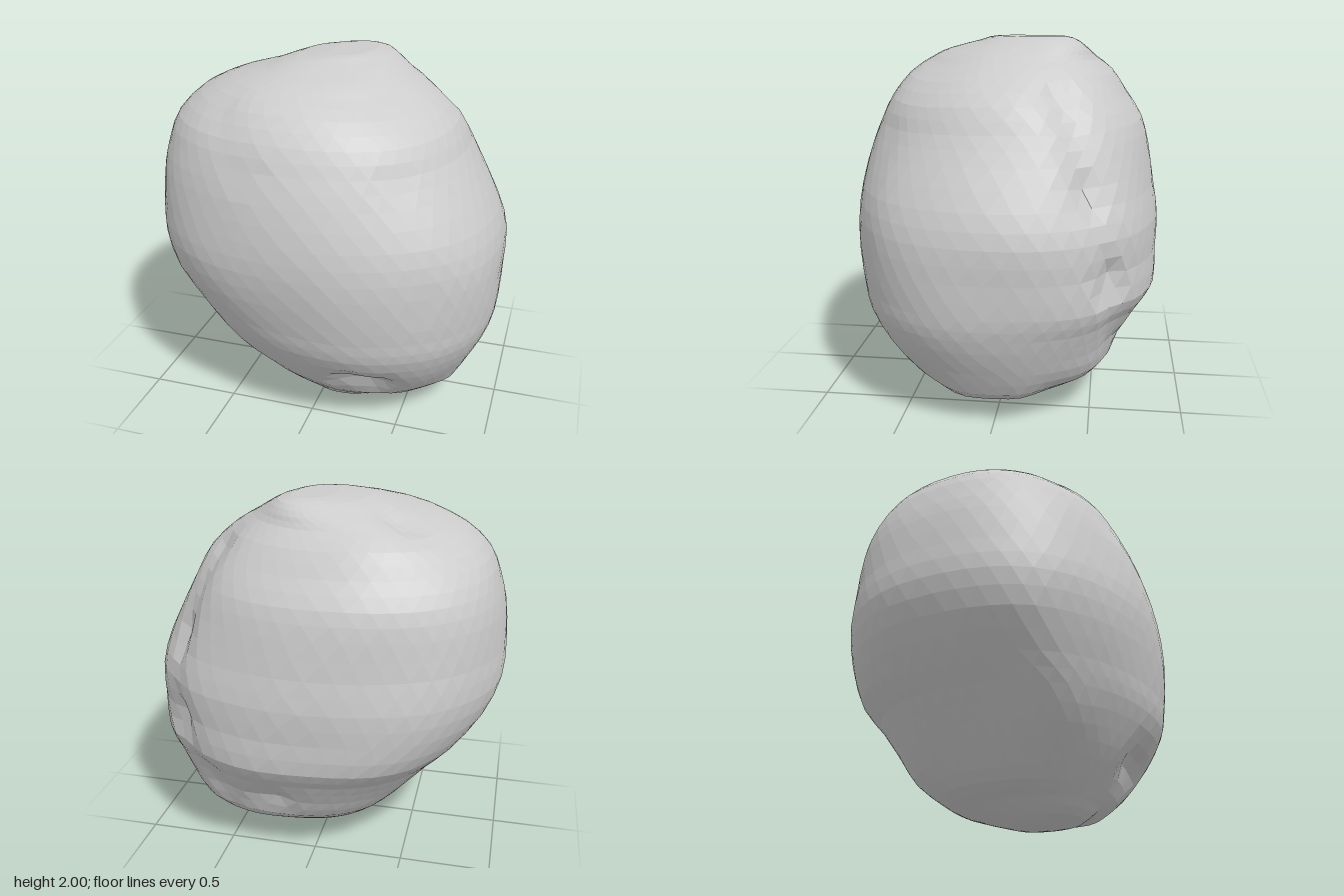
import * as THREE from 'three';

// Profile by height: [y, xMin, xMax, zMin, zMax, skew]
const PROFILE = [
  [0, 0.03, 0.22, -0.02, 0.17, 0], [0.03, -0.06, 0.35, -0.14, 0.34, 0], [0.1, -0.18, 0.46, -0.36, 0.42, 0],
  [0.16, -0.31, 0.69, -0.48, 0.49, 0], [0.27, -0.43, 0.81, -0.62, 0.6, 0], [0.4, -0.55, 0.89, -0.68, 0.69, 0.02],
  [0.55, -0.68, 0.945, -0.76, 0.77, 0.03], [0.67, -0.79, 0.97, -0.84, 0.8, 0.03], [0.85, -0.92, 0.98, -0.845, 0.835, 0.02],
  [1.03, -0.985, 0.98, -0.845, 0.85, 0], [1.2, -0.985, 0.93, -0.815, 0.835, 0], [1.4, -0.965, 0.83, -0.785, 0.79, 0],
  [1.55, -0.925, 0.75, -0.745, 0.74, 0], [1.68, -0.87, 0.68, -0.66, 0.68, 0], [1.8, -0.75, 0.55, -0.58, 0.58, 0],
  [1.88, -0.57, 0.42, -0.49, 0.46, -0.05], [1.93, -0.37, 0.34, -0.45, 0.36, -0.1], [1.98, -0.22, 0.25, -0.39, 0.18, -0.25],
  [2, -0.05, 0.18, -0.32, 0.06, -0.3],
];

// Dents (positive depth) and bulges (negative): [from, to, radius, depth]
const RELIEF = [
  [[0.28, 0.3, 0.62], [0.4, 0.27, 0.6], 0.12, 0.08],         // front crater
  [[0.7, 0.2, 0.15], [0.7, 0.2, -0.1], 0.15, -0.045],        // underside of the side lobe
  [[0.42, 0.36, -0.52], [0.2, 0.42, -0.62], 0.1, 0.06],      // back crater
  [[0.5, 0.42, -0.56], [0.72, 0.8, -0.59], 0.09, 0.035],     // lower back groove
  [[0.72, 0.8, -0.59], [0.72, 1.25, -0.47], 0.09, 0.035],    // middle back groove
  [[0.72, 1.25, -0.47], [0.54, 1.7, -0.32], 0.1, 0.045],     // upper back groove
  [[-0.43, 1.7, 0.46], [-0.27, 1.5, 0.64], 0.09, 0.05],      // upper front pit
  [[-0.44, 1.86, -0.3], [-0.38, 1.88, -0.27], 0.09, 0.04],   // top pit
  [[0.45, 1.5, 0.55], [0.62, 0.9, 0.62], 0.09, 0.015],       // front groove beside the lobe
  [[0.35, 1.78, 0.35], [0.5, 1.5, 0.5], 0.3, 0.035],         // flattened upper front slope
  [[-0.72, 0.85, 0.48], [-0.38, 0.45, 0.5], 0.16, -0.025],   // blunt lower front edge
].map(([a, b, r, d]) => ({ line: new THREE.Line3(new THREE.Vector3(...a), new THREE.Vector3(...b)), r, d }));

const CENTRE = new THREE.Vector3(0.05, 1, 0);
const near = new THREE.Vector3();

// Push a surface point along its line to the centre and add slight lumps
function weather(p) {
  if (p.y < 0.02 || p.y > 1.98) return p;
  let push = 0.004 * (Math.sin(p.x * 9 + p.y * 4) + Math.sin(p.z * 8 - p.y * 7 + 1) * Math.cos(p.x * 6));
  for (const { line, r, d } of RELIEF) {
    const dist = line.closestPointToPoint(p, true, near).distanceTo(p);
    push += d * Math.exp(-((dist / r) ** 2));
  }
  return p.addScaledVector(near.subVectors(CENTRE, p).normalize(), push);
}

const power = (v, e) => Math.sign(v) * Math.abs(v) ** e;

function rockGeometry(rows, cols) {
  const curve = (a, b, c) => new THREE.CatmullRomCurve3(
    PROFILE.map((s) => new THREE.Vector3(s[a], s[b], s[c])), false, 'catmullrom', 0.5);
  const xs = curve(1, 0, 2), zs = curve(3, 5, 4);
  const pos = [], index = [];
  const add = (p) => pos.push(p.x, p.y, p.z);

  // Rounded, skewed cross-section rings from bottom to top
  for (let i = 0; i <= rows; i++) {
    const X = xs.getPoint(i / rows), Z = zs.getPoint(i / rows);
    for (let j = 0; j < cols; j++) {
      const a = ((j + (i % 2) * 0.5) / cols) * Math.PI * 2;
      add(weather(new THREE.Vector3(
        (X.x + X.z) / 2 + ((X.z - X.x) / 2) * power(Math.cos(a), 0.89),
        X.y,
        (Z.x + Z.z) / 2 + ((Z.z - Z.x) / 2) * power(Math.sin(a + Z.y), 0.89))));
    }
  }
  for (let i = 0; i < rows; i++) {
    for (let j = 0; j < cols; j++) {
      const k = (j + 1) % cols;
      const a = i * cols + j, b = i * cols + k, c = a + cols, d = b + cols;
      if (i % 2) index.push(a, d, b, a, c, d);
      else index.push(a, c, b, b, c, d);
    }
  }

  // Small closing caps
  const bottom = pos.length / 3, top = bottom + 1, last = rows * cols;
  add(new THREE.Vector3(0.12, 0, 0.08));
  add(new THREE.Vector3(0.07, 2, -0.13));
  for (let j = 0; j < cols; j++) {
    const k = (j + 1) % cols;
    index.push(bottom, j, k, top, last + k, last + j);
  }

  const geo = new THREE.BufferGeometry();
  geo.setAttribute('position', new THREE.Float32BufferAttribute(pos, 3));
  geo.setIndex(index);
  geo.computeVertexNormals();
  return geo;
}

export function createModel() {
  const group = new THREE.Group();
  group.name = 'boulder';
  const rock = new THREE.Mesh(
    rockGeometry(36, 48),
    new THREE.MeshStandardMaterial({ color: 0xcccccc, flatShading: true }));
  rock.name = 'rock';
  group.add(rock);
  return group;
}
